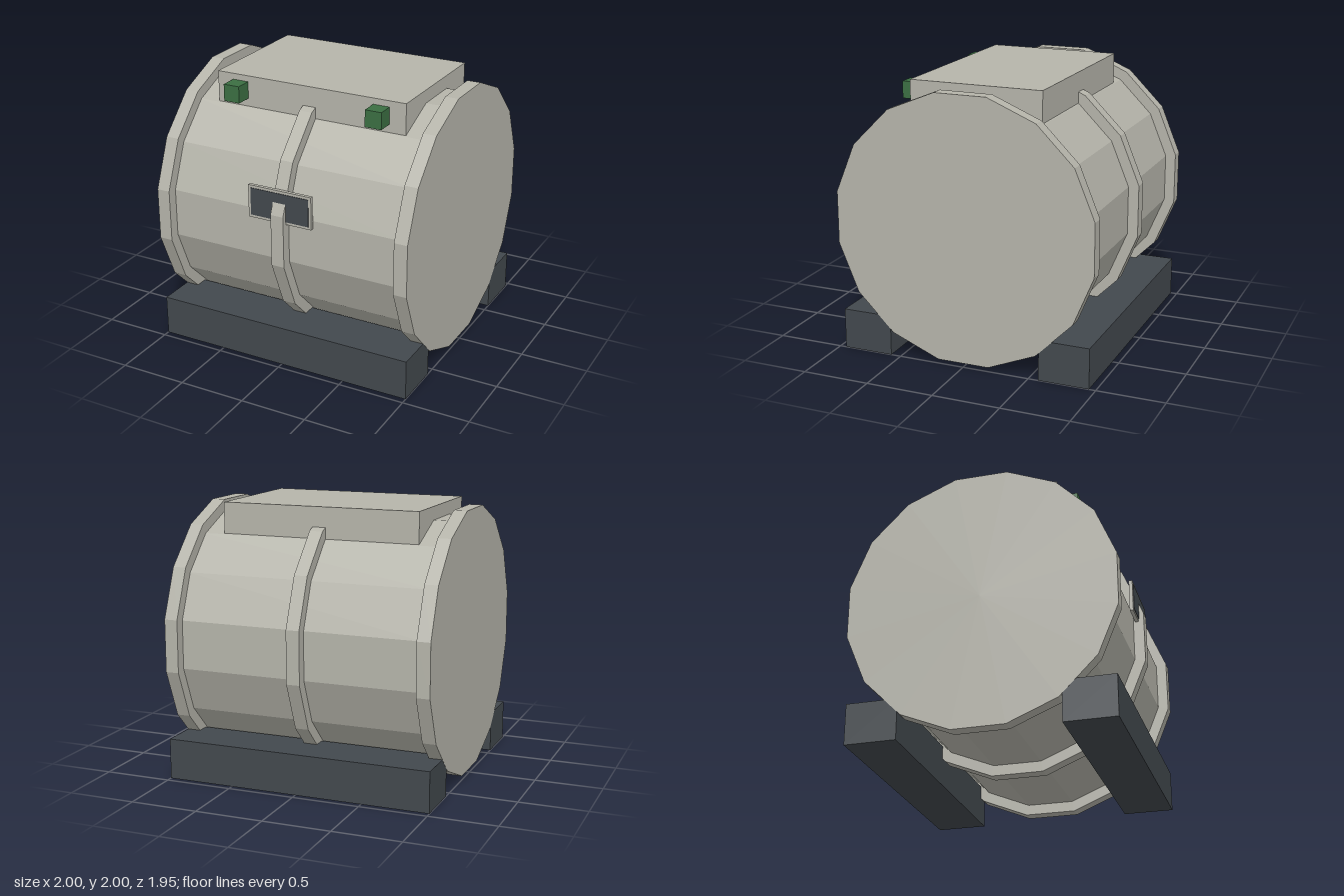
import * as THREE from 'three';

const mat = (name, color) => {
  const m = new THREE.MeshStandardMaterial({ color, flatShading: true });
  m.name = name;
  return m;
};

export function createModel() {
  const group = new THREE.Group();
  group.name = 'tank';
  const shell = mat('warm grey', 0xb5b4aa);
  const dark = mat('dark slate', 0x42484d);
  const green = mat('green', 0x3b6e42);
  const axisY = 1.005;

  const add = (name, geometry, material, x, y, z) => {
    const mesh = new THREE.Mesh(geometry, material);
    mesh.name = name;
    mesh.position.set(x, y, z);
    group.add(mesh);
    return mesh;
  };
  const box = (name, material, [w, h, d], [x, y, z]) =>
    add(name, new THREE.BoxGeometry(w, h, d), material, x, y, z);

  // Sixteen-sided drum lying along x, with a flat facing up
  const drum = (name, radius, length, x) => {
    const g = new THREE.CylinderGeometry(radius, radius, length, 16);
    g.rotateY(Math.PI / 16).rotateZ(Math.PI / 2);
    add(name, g, shell, x, axisY, 0);
  };
  drum('tankBody', 0.914, 1.84, 0);
  drum('middleBand', 0.994, 0.1, 0);

  // Mirrored end caps and signal lamps
  for (const [side, s] of [['left', 1], ['right', -1]]) {
    drum(`${side}EndCap`, 0.994, 0.1, s * 0.95);
    box(`${side}Lamp`, green, [0.125, 0.125, 0.125], [s * 0.5625, 1.8925, 0.5625]);
  }

  // Front and back skids
  for (const [end, s] of [['front', 1], ['back', -1]])
    box(`${end}Skid`, dark, [1.998, 0.3, 0.375], [0, 0.15, s * 0.7635]);

  // Housing on top
  box('topHousing', shell, [1.5, 0.23, 1], [0, 1.885, 0]);

  // Front plate with a dark inset panel
  box('frontPlate', shell, [0.5, 0.245, 0.026], [0, 1.2525, 0.923]);
  box('platePanel', dark, [0.46, 0.205, 0.004], [0, 1.2525, 0.938]);

  return group;
}
